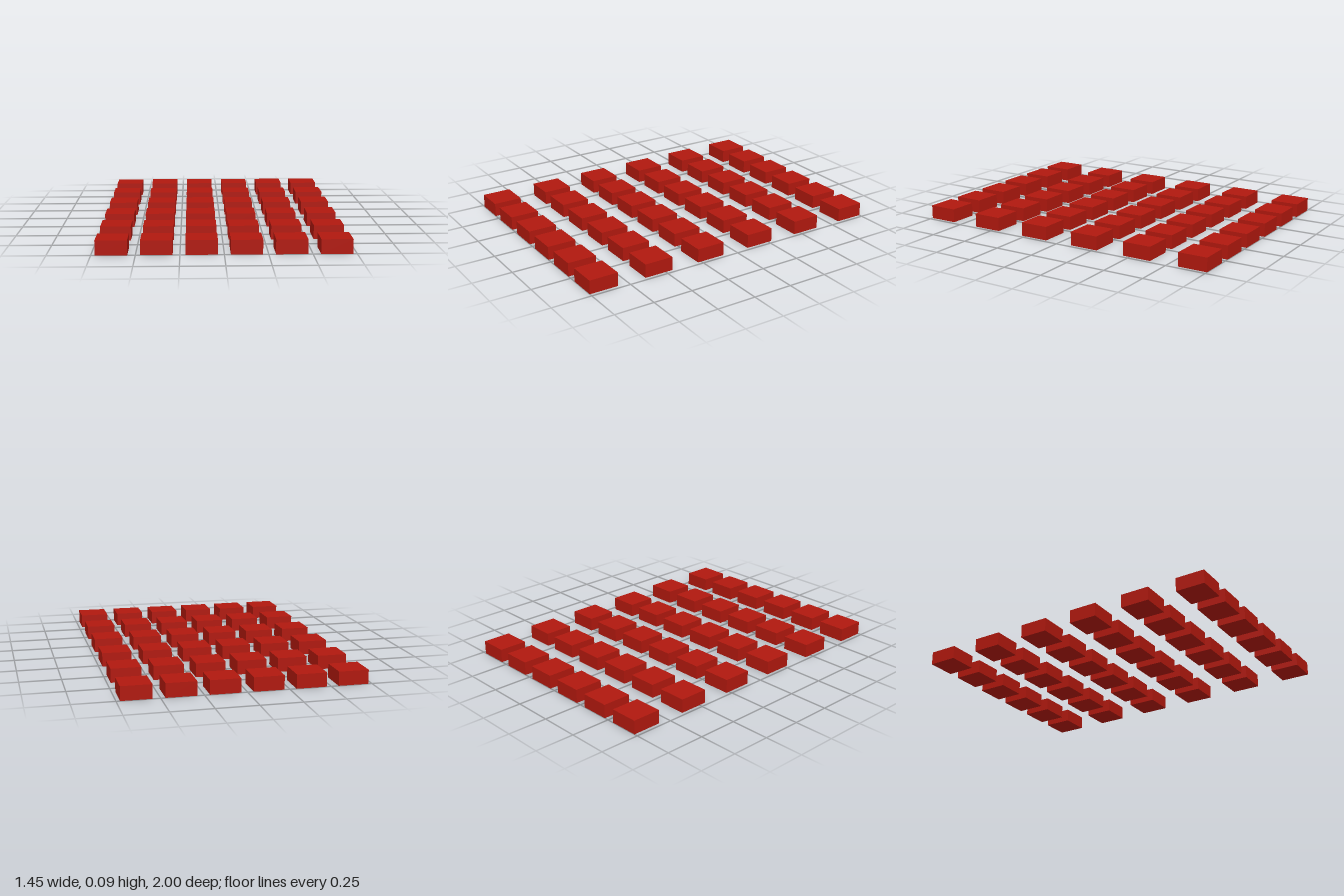
import * as THREE from 'three';

const COUNT = 6;          // blocks per row and per column
const SIZE = 2 / 11;      // block footprint
const HEIGHT = 0.085;
const STEP_X = 2.8 / 11;
const STEP_Z = 4 / 11;

export function createModel() {
  const model = new THREE.Group();
  model.name = 'blockGrid';
  const red = new THREE.MeshStandardMaterial({ color: 0xb0180e });
  const blockGeometry = new THREE.BoxGeometry(SIZE, HEIGHT, SIZE);
  const mid = (COUNT - 1) / 2;

  // Rows of identical separate blocks, from back to front
  for (let r = 0; r < COUNT; r++) {
    const row = new THREE.Group();
    row.name = `row${r + 1}`;
    row.position.z = (r - mid) * STEP_Z;
    for (let c = 0; c < COUNT; c++) {
      const block = new THREE.Mesh(blockGeometry, red);
      block.name = `block${r + 1}_${c + 1}`;
      block.position.set((c - mid) * STEP_X, HEIGHT / 2, 0);
      row.add(block);
    }
    model.add(row);
  }
  return model;
}
